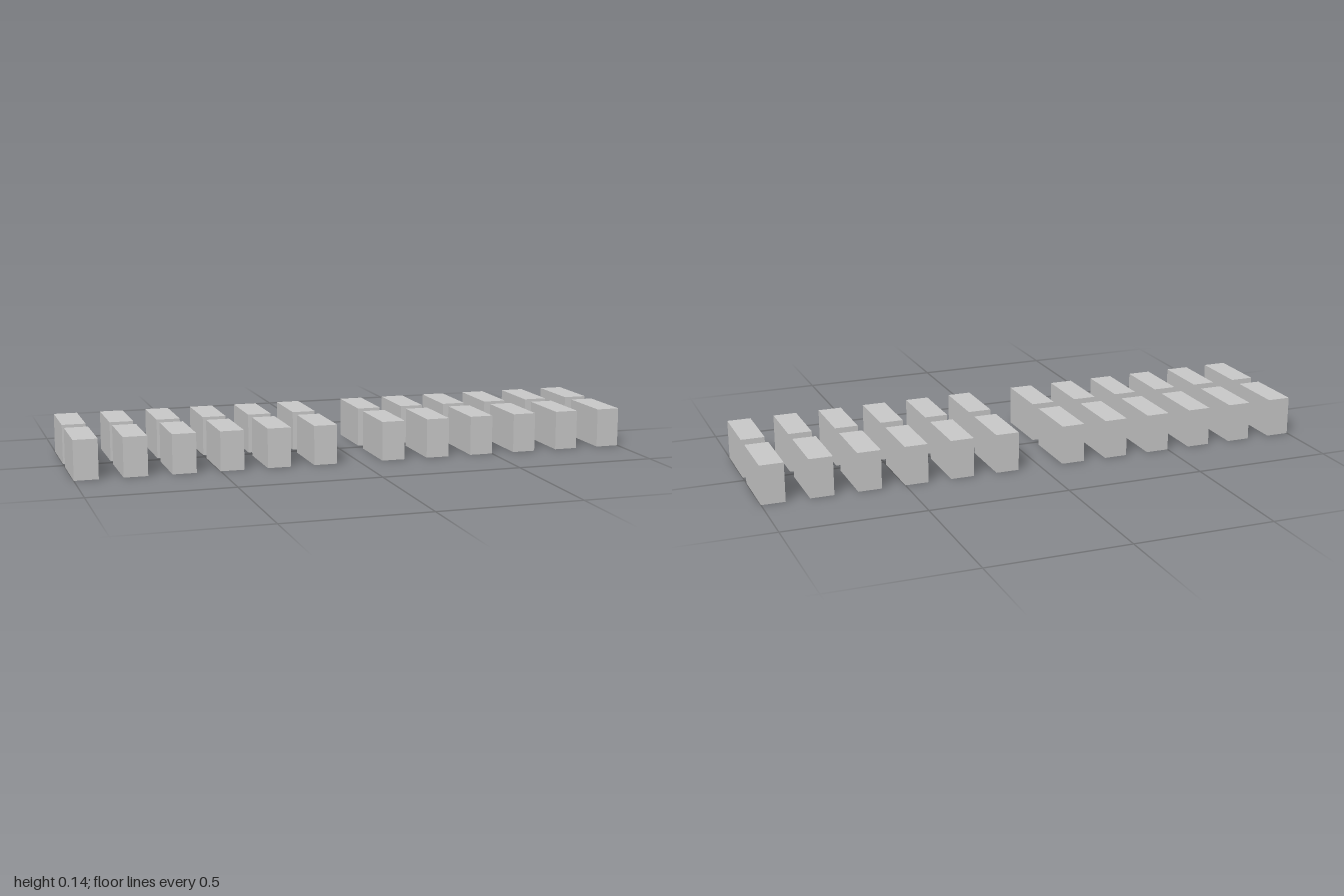
import * as THREE from 'three';

const UNIT = 1 / 36;
const WIDTH = 3 * UNIT, HEIGHT = 5 * UNIT, DEPTH = 8 * UNIT;
const PITCH = 6 * UNIT; // one block plus one gap
const PER_BANK = 6;

export function createModel() {
  const model = new THREE.Group();
  model.name = 'blockRows';
  const material = new THREE.MeshStandardMaterial({ color: 0xcccccc, flatShading: true });
  const geometry = new THREE.BoxGeometry(WIDTH, HEIGHT, DEPTH);

  // Two rows, each split into a left and a right bank by a wider central gap
  for (const [rowName, rowSide] of [['front', 1], ['back', -1]]) {
    const row = new THREE.Group();
    row.name = `${rowName}Row`;
    row.position.z = rowSide * (UNIT + DEPTH / 2);
    for (const [bankName, bankSide] of [['Left', 1], ['Right', -1]]) {
      for (let i = 0; i < PER_BANK; i++) {
        const block = new THREE.Mesh(geometry, material);
        block.name = `${rowName}${bankName}Block${i + 1}`;
        block.position.set(bankSide * (1 - WIDTH / 2 - i * PITCH), HEIGHT / 2, 0);
        row.add(block);
      }
    }
    model.add(row);
  }
  return model;
}
